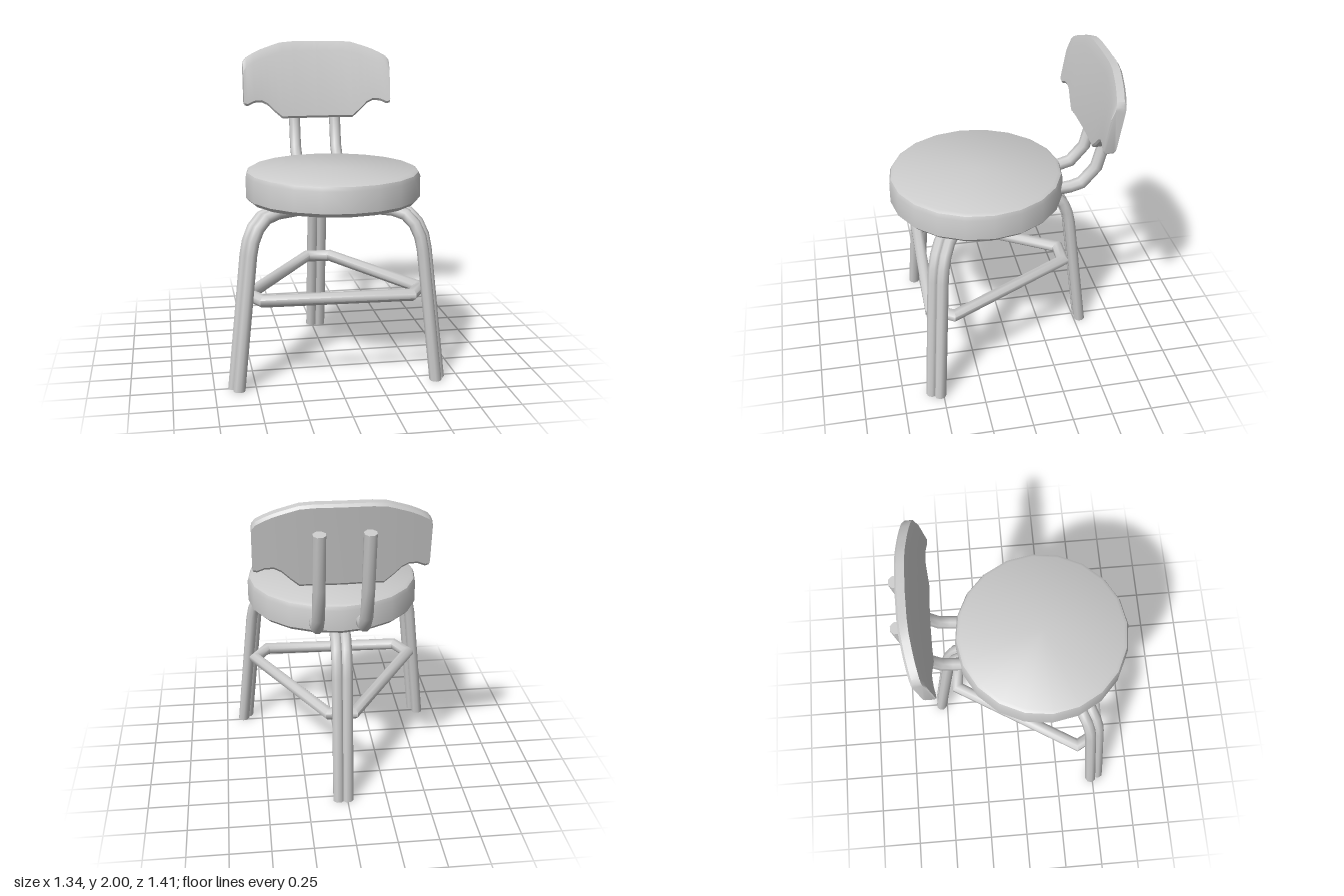
import * as THREE from 'three';
import { toCreasedNormals } from 'three/addons/utils/BufferGeometryUtils.js';

const material = new THREE.MeshStandardMaterial({ color: 0xcccccc });
const V = (x, y, z) => new THREE.Vector3(x, y, z);
const HUB = V(0.008, 0, 0.173); // point the three legs radiate from
const TURN = 0.025;             // slight twist of the leg frame

// Skin a row of equal-sized rings (counter-clockwise about the travel direction).
function loft(rings, closed = false, crease = 0.95) {
  const pos = [];
  const tri = (...pts) => pts.forEach((p) => pos.push(p.x, p.y, p.z));
  const n = rings[0].length;
  const last = rings.length - 1;
  for (let i = 0; i < last + (closed ? 1 : 0); i++) {
    const r = rings[i], s = rings[(i + 1) % rings.length];
    for (let j = 0; j < n; j++) {
      const k = (j + 1) % n;
      tri(r[j], r[k], s[k]);
      tri(r[j], s[k], s[j]);
    }
  }
  if (!closed) {
    for (let j = 1; j < n - 1; j++) {
      tri(rings[0][0], rings[0][j + 1], rings[0][j]);
      tri(rings[last][0], rings[last][j], rings[last][j + 1]);
    }
  }
  const g = new THREE.BufferGeometry();
  g.setAttribute('position', new THREE.Float32BufferAttribute(pos, 3));
  return toCreasedNormals(g, crease);
}

// Round bar along a polyline with mitred bends; `ends` overrides the end-plane normals.
function bar(path, radius, { closed = false, ends = null, sides = 8 } = {}) {
  const n = path.length;
  const dir = (i) => path[(i + 1) % n].clone().sub(path[i % n]).normalize();
  const d0 = dir(0);
  const u = V(0, 1, 0).cross(d0);
  if (u.length() < 0.01) u.set(1, 0, 0);
  u.normalize();
  const v = d0.clone().cross(u);
  let ring = [];
  for (let j = 0; j < sides; j++) {
    const a = ((j + 0.5) / sides) * Math.PI * 2;
    ring.push(path[0].clone().addScaledVector(u, radius * Math.cos(a)).addScaledVector(v, radius * Math.sin(a)));
  }
  // slide a ring along direction d onto the plane through c with the given normal
  const slide = (pts, d, c, normal) => pts.map((p) =>
    p.clone().addScaledVector(d, c.clone().sub(p).dot(normal) / d.dot(normal)));
  if (ends) ring = slide(ring, d0, path[0], ends);
  const rings = [ring];
  for (let i = 1; i < n; i++) {
    const d = dir(i - 1);
    let normal = d;
    if (i < n - 1 || closed) normal = d.clone().add(dir(i)).normalize();
    else if (ends) normal = ends;
    ring = slide(ring, d, path[i], normal);
    rings.push(ring);
  }
  return loft(rings, closed);
}

// Point in the leg frame: r outwards along leg i, t sideways towards leg i + 1
function legPoint(i, r, t, y) {
  const a = -Math.PI / 2 + TURN + (i * Math.PI * 2) / 3;
  const c = Math.cos(a), s = Math.sin(a);
  return V(HUB.x + r * c - t * s, y, HUB.z + r * s + t * c);
}

export function createModel() {
  const model = new THREE.Group();
  const add = (name, geometry) => {
    const mesh = new THREE.Mesh(geometry, material);
    mesh.name = name;
    model.add(mesh);
    return mesh;
  };

  // Round seat with softened rims
  const profile = [[0, 1.08], [0.515, 1.08], [0.54, 1.105], [0.54, 1.235], [0.53, 1.26], [0.51, 1.272], [0, 1.275]];
  const lathe = new THREE.LatheGeometry(profile.map(([r, y]) => new THREE.Vector2(r, y)), 20);
  const seat = add('seat', toCreasedNormals(lathe, 0.6));
  seat.position.set(0.025, 0, 0.17);
  seat.rotation.y = 0.03;

  // Three bent bars, each running up one leg, round the hub and down the next,
  // so every leg is a pair of bars side by side
  const legProfile = [[0.713, 0], [0.613, 0.82], [0.595, 0.9], [0.558, 0.975], [0.5, 1.03], [0.42, 1.05], [0.14, 1.05]];
  const gap = 0.029;
  for (let i = 0; i < 3; i++) {
    const up = legProfile.map(([r, y]) => legPoint(i, r, gap, y));
    const down = legProfile.map(([r, y]) => legPoint(i + 1, r, -gap, y)).reverse();
    const bend = up[6].clone().add(down[0]).multiplyScalar(0.5)
      .lerp(V(HUB.x, 1.05, HUB.z), 0.3);
    add('legBar' + (i + 1), bar([...up, bend, ...down], 0.037, { ends: V(0, 1, 0) }));
  }

  // Triangular brace with cut corners, resting against the inside of the legs
  const corners = [];
  for (let i = 0; i < 3; i++) {
    corners.push(legPoint(i, 0.565, -0.08, 0.547), legPoint(i, 0.565, 0.08, 0.547));
  }
  const start = corners[5].clone().add(corners[0]).multiplyScalar(0.5);
  add('legBrace', bar([start, ...corners], 0.038, { closed: true }));

  // Two bent posts carrying the backrest
  const post = [[1.155, -0.31], [1.165, -0.4], [1.185, -0.47], [1.29, -0.56], [1.49, -0.611], [1.835, -0.667]];
  for (const [name, x] of [['rightPost', -0.105], ['leftPost', 0.175]]) {
    add(name, bar(post.map(([y, z]) => V(x, y, z)), 0.039));
  }

  // Backrest: chamfered upright sections [half width, bottom, top], leaning and bowed
  const half = [[0, 1.49, 2], [0.16, 1.492, 2], [0.24, 1.49, 1.993], [0.29, 1.533, 1.978], [0.34, 1.582, 1.962],
    [0.38, 1.602, 1.948], [0.43, 1.6, 1.925], [0.475, 1.58, 1.9], [0.495, 1.585, 1.875], [0.5, 1.595, 1.855]];
  const stations = [...half.slice(1).reverse().map(([x, b, t]) => [-x, b, t]), ...half];
  const sections = stations.map(([x, b, t]) => [
    [t, -0.014], [t - 0.06, 0], [b + 0.015, 0], [b, -0.012],
    [b, -0.063], [b + 0.015, -0.075], [t - 0.02, -0.075], [t - 0.003, -0.06],
  ].map(([y, z]) => V(0.04 + x, y, z - 0.495 - 0.17 * (y - 1.49) + 0.13 * x * x)));
  add('backrest', loft(sections, false, 0.6));

  return model;
}
